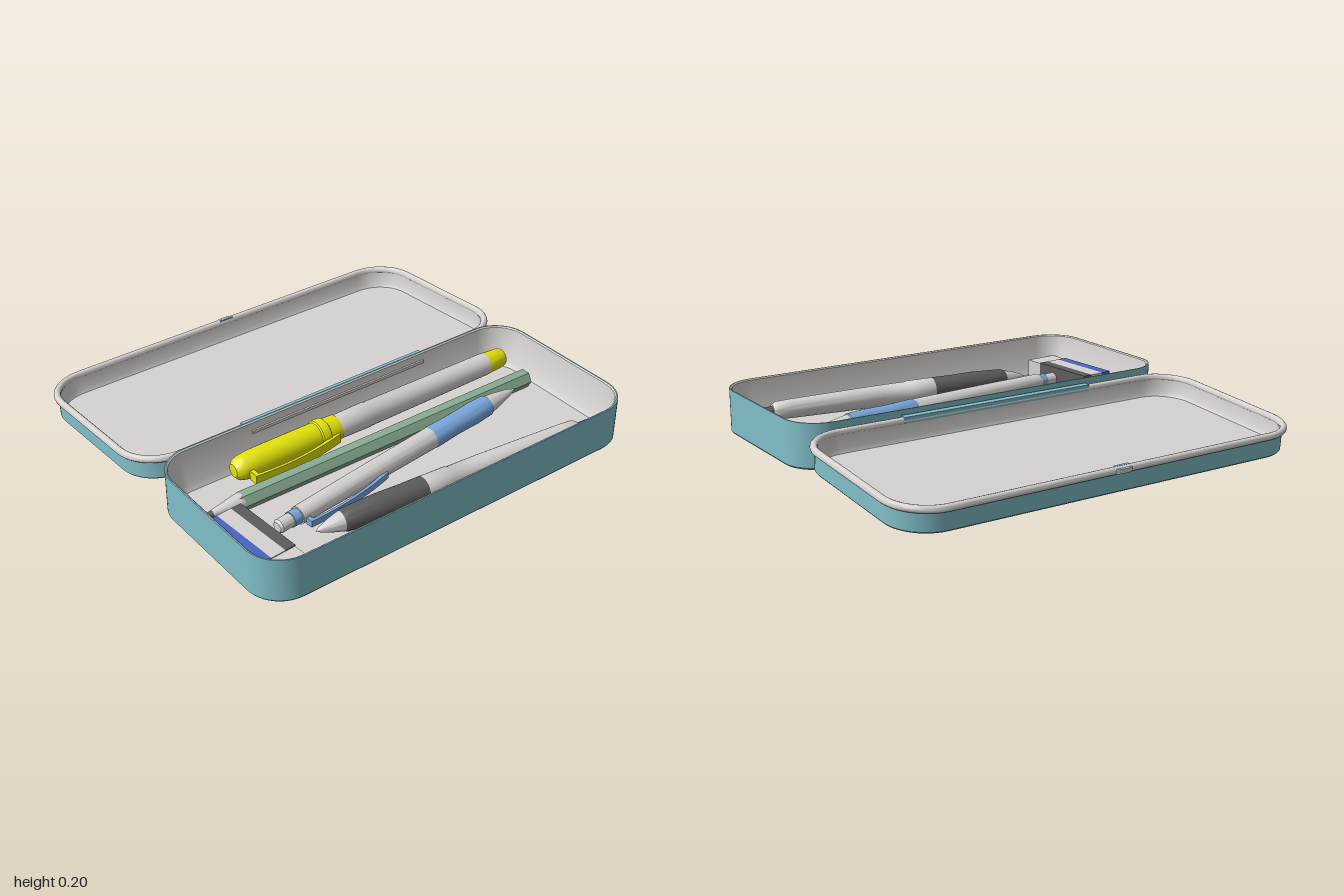
import * as THREE from 'three';
import { toCreasedNormals } from 'three/addons/utils/BufferGeometryUtils.js';

const mat = (name, color) => {
  const m = new THREE.MeshStandardMaterial({ color });
  m.name = name;
  return m;
};

export function createModel() {
  const teal = mat('teal tin', 0x80bfc8);
  const grey = mat('light grey', 0xd6d3d1);
  const yellow = mat('yellow', 0xe3e30c);
  const blue = mat('soft blue', 0x7ba8e0);
  const green = mat('pencil green', 0x88ab92);
  const dark = mat('charcoal', 0x5c5c5c);
  const royal = mat('royal blue', 0x4a63c4);

  const model = new THREE.Group();
  model.name = 'pencilTin';

  const add = (parent, name, geometry, material, x = 0, y = 0, z = 0) => {
    const mesh = new THREE.Mesh(geometry, material);
    mesh.name = name;
    mesh.position.set(x, y, z);
    parent.add(mesh);
    return mesh;
  };
  const group = (name) => {
    const g = new THREE.Group();
    g.name = name;
    model.add(g);
    return g;
  };

  // Sweeps a [offset, y] profile round a rounded rectangle; offset null is the centre
  const N = 12;
  function shell(hx, hz, r, profile) {
    const loops = profile.map(([o, y]) => {
      const pts = [];
      for (let q = 0; q < 4; q++) {
        const sx = q === 0 || q === 3 ? 1 : -1;
        const sz = q < 2 ? 1 : -1;
        for (let i = 0; i <= N; i++) {
          const a = (q + i / N) * Math.PI / 2;
          pts.push(o === null ? [0, y, 0] : [
            sx * (hx - r) + (r + o) * Math.cos(a), y,
            sz * (hz - r) + (r + o) * Math.sin(a)]);
        }
      }
      return pts;
    });
    const pos = [];
    for (let j = 0; j < loops.length - 1; j++) {
      const A = loops[j], B = loops[j + 1];
      A.forEach((p, i) => {
        const k = (i + 1) % A.length;
        if (profile[j + 1][0] !== null) pos.push(...p, ...B[i], ...B[k]);
        if (profile[j][0] !== null) pos.push(...p, ...B[k], ...A[k]);
      });
    }
    const g = new THREE.BufferGeometry();
    g.setAttribute('position', new THREE.Float32BufferAttribute(pos, 3));
    return toCreasedNormals(g, 0.6);
  }

  // Tray
  const tray = group('tray');
  tray.position.set(0, 0, 0.465);
  add(tray, 'trayOuter', shell(0.96, 0.425, 0.16, [
    [null, 0], [-0.006, 0], [0, 0.008], [0, 0.205], [-0.006, 0.205]]), teal);
  add(tray, 'trayLining', shell(0.96, 0.425, 0.16, [
    [-0.006, 0.205], [-0.012, 0.2], [-0.03, 0.04], [-0.047, 0.012], [null, 0.012]]), grey);
  add(tray, 'hingeBar', new THREE.BoxGeometry(0.94, 0.015, 0.012), grey, 0, 0.16, -0.407);

  // Open lid, leaning slightly back
  const lid = group('lid');
  lid.position.set(0, 0.033, -0.42);
  lid.rotation.x = -0.072;
  add(lid, 'lidOuter', shell(0.98, 0.44, 0.18, [
    [null, 0], [-0.005, 0], [0, 0.006], [0, 0.1]]), teal);
  add(lid, 'lidLining', shell(0.98, 0.44, 0.18, [
    [-0.01, 0.1], [-0.012, 0.03], [-0.022, 0.012], [null, 0.012]]), grey);
  const bead = [];
  for (let i = 0; i <= 12; i++) {
    const a = -Math.PI / 2 + i / 12 * Math.PI * 2;
    bead.push([0.003 + 0.016 * Math.cos(a), 0.1 + 0.016 * Math.sin(a)]);
  }
  add(lid, 'lidRim', shell(0.98, 0.44, 0.18, bead), grey);
  add(lid, 'hingeLeaf', new THREE.BoxGeometry(0.98, 0.03, 0.03), teal, 0, 0.104, 0.443);
  const tab = new THREE.CylinderGeometry(0.04, 0.04, 0.02, 20);
  tab.scale(1, 1, 0.25);
  add(lid, 'latchTab', tab, grey, 0, 0.1, -0.456);
  add(lid, 'latchMark', new THREE.BoxGeometry(0.07, 0.006, 0.012), teal, 0, 0.114, -0.437);

  // Pens run along local y; local x points sideways and local z upwards
  function pen(name, [x0, z0], [x1, z1], y) {
    const g = group(name);
    const dir = new THREE.Vector3(x1 - x0, 0, z1 - z0).normalize();
    const up = new THREE.Vector3(0, 1, 0);
    const side = new THREE.Vector3().crossVectors(dir, up);
    g.quaternion.setFromRotationMatrix(new THREE.Matrix4().makeBasis(side, dir, up));
    g.position.set(x0, y, z0);
    return g;
  }
  const turned = (pts, sides = 28, start = 0) => toCreasedNormals(
    new THREE.LatheGeometry(pts.map(([r, t]) => new THREE.Vector2(r, t)), sides, start), 0.6);

  // Bowed clip from t0 (free end) to t1, reaching out to radius r
  function clip(parent, material, t0, t1, r, w, root) {
    const s = new THREE.Shape();
    const m = (t0 + t1) / 2, k = 0.012;
    s.moveTo(root, t0);
    s.lineTo(r - 0.012, t0);
    s.quadraticCurveTo(r + 0.012, m, root + k, t1);
    s.lineTo(root - 0.01, t1);
    s.lineTo(root, t1 - 0.03);
    s.quadraticCurveTo(r, m, r - 0.025, t0 + 0.02);
    s.lineTo(root, t0 + 0.02);
    const g = new THREE.ExtrudeGeometry(s, { depth: w, bevelEnabled: false, curveSegments: 10 });
    g.translate(0, 0, -w / 2 - 0.01);
    add(parent, 'clip', toCreasedNormals(g, 0.5), material);
  }

  // Highlighter
  const marker = pen('highlighter', [-0.635, 0.15], [0.87, 0.152], 0.08);
  add(marker, 'cap', turned([[0, 0], [0.03, 0.003], [0.048, 0.02], [0.056, 0.05], [0.061, 0.12],
    [0.061, 0.425], [0.068, 0.43], [0.07, 0.45], [0.068, 0.47], [0.061, 0.475],
    [0.059, 0.535], [0, 0.535]]), yellow);
  add(marker, 'barrel', turned([[0.055, 0.53], [0.058, 0.7], [0.056, 0.705], [0.052, 1.4],
    [0, 1.4]]), grey);
  add(marker, 'endPlug', turned([[0, 1.398], [0.052, 1.4], [0.05, 1.42], [0.046, 1.49],
    [0.04, 1.505], [0, 1.505]]), yellow);
  clip(marker, yellow, 0.05, 0.515, 0.115, 0.045, 0.055);

  // Hexagonal pencil
  const pencil = pen('pencil', [-0.92, 0.307], [0.87, 0.321], 0.05);
  add(pencil, 'lead', turned([[0, 0], [0.017, 0.08]]), dark);
  add(pencil, 'sharpenedCone', turned([[0.017, 0.08], [0.039, 0.2], [0.039, 0.22]]), grey);
  add(pencil, 'shaft', turned([[0.034, 0.18], [0.043, 0.215], [0.043, 1.79], [0, 1.79]],
    6, Math.PI / 6), green);

  // Blue ballpoint
  const bluePen = pen('bluePen', [-0.69, 0.55], [0.755, 0.376], 0.065);
  add(bluePen, 'button', turned([[0, 0], [0.022, 0], [0.03, 0.01], [0.03, 0.075]]), grey);
  add(bluePen, 'collar', turned([[0, 0.07], [0.034, 0.07], [0.034, 0.115]]), blue);
  add(bluePen, 'barrel', turned([[0, 0.11], [0.04, 0.11], [0.045, 0.45], [0.049, 0.89]]), grey);
  add(bluePen, 'grip', turned([[0.049, 0.885], [0.051, 0.9], [0.048, 1.03], [0.051, 1.16],
    [0.048, 1.25], [0.042, 1.255]]), blue);
  add(bluePen, 'tip', turned([[0.044, 1.25], [0.034, 1.32], [0.018, 1.4], [0, 1.455]]), grey);
  clip(bluePen, blue, 0.12, 0.575, 0.085, 0.03, 0.042);

  // Grey and charcoal ballpoint
  const darkPen = pen('darkPen', [-0.585, 0.664], [0.83, 0.78], 0.068);
  add(darkPen, 'tip', turned([[0, 0], [0.012, 0.02], [0.03, 0.07], [0.044, 0.125]]), grey);
  add(darkPen, 'grip', turned([[0.044, 0.12], [0.05, 0.14], [0.056, 0.3], [0.054, 0.42],
    [0.055, 0.52]]), dark);
  add(darkPen, 'barrel', turned([[0.055, 0.52], [0.055, 0.65], [0.052, 0.655], [0.052, 0.8],
    [0.045, 1.25], [0.042, 1.32], [0.03, 1.34], [0, 1.34]]), grey);
  add(darkPen, 'button', turned([[0.022, 1.33], [0.022, 1.41], [0.016, 1.42], [0, 1.42]]), dark);
  clip(darkPen, grey, 0.97, 1.29, 0.075, 0.03, 0.04);

  // Eraser in a striped sleeve
  const eraser = group('eraser');
  eraser.position.set(-0.815, 0.012, 0.605);
  eraser.rotation.y = 0.07;
  add(eraser, 'rubber', new THREE.BoxGeometry(0.164, 0.086, 0.44), grey, 0, 0.045, 0);
  const stripes = [['sleeveBlue', royal, -0.06, 0.05], ['sleeveMiddle', grey, 0, 0.07],
    ['sleeveDark', dark, 0.06, 0.05]];
  for (const [name, m, x, w] of stripes) {
    add(eraser, name, new THREE.BoxGeometry(w, 0.092, 0.345), m, x, 0.046, -0.05);
  }

  return model;
}
